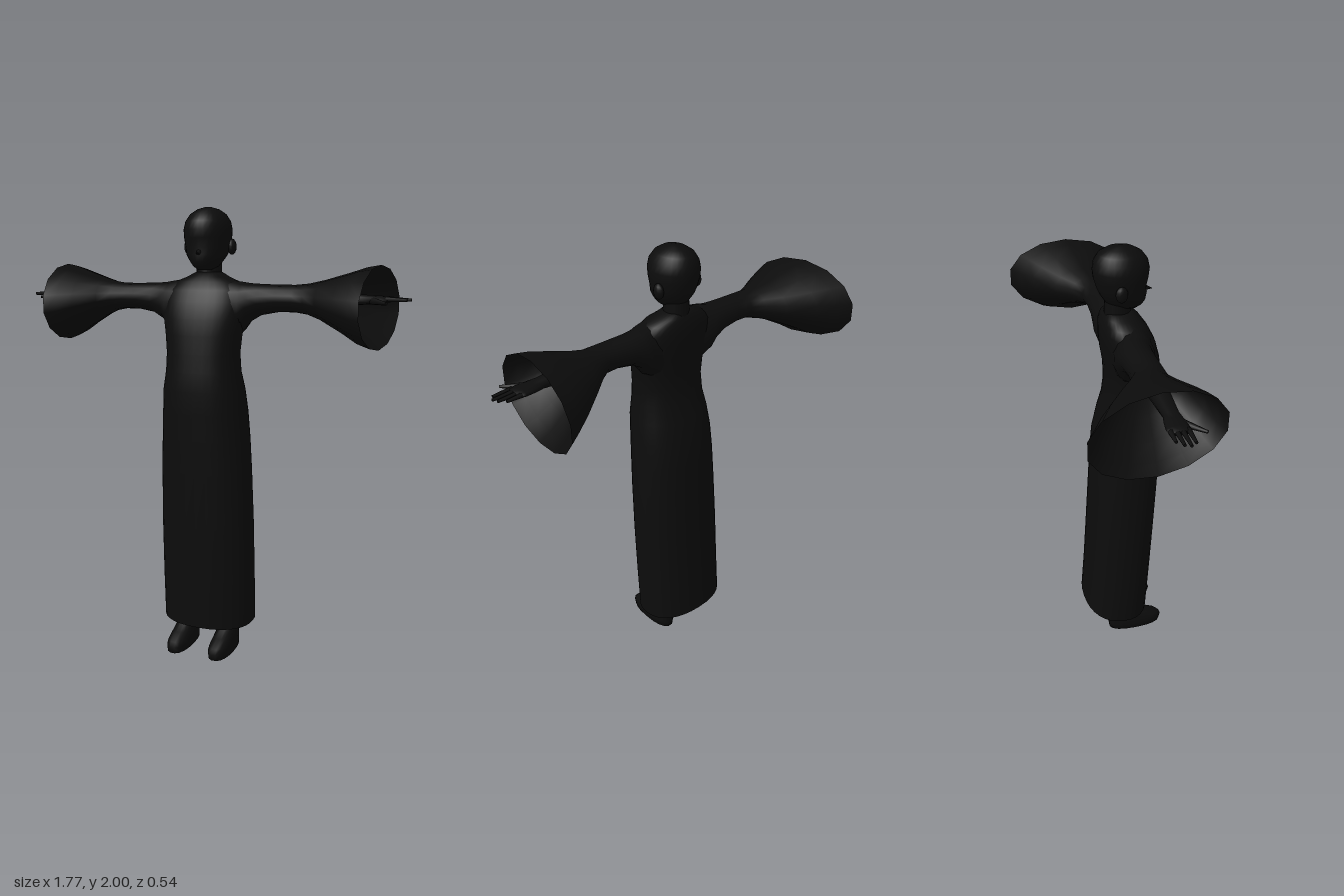
import * as THREE from 'three';

const cloth = new THREE.MeshStandardMaterial({ color: 0x0c0c0c, side: THREE.DoubleSide });
cloth.name = 'black';

// Skin closed cross-sections; at(ring, cos, sin) gives a point of a ring
function loft(rings, sides, at, { power = 2, capStart = false, capEnd = false } = {}) {
  const pos = [], idx = [];
  const round = (v) => Math.sign(v) * Math.abs(v) ** (2 / power);
  for (const ring of rings) {
    for (let j = 0; j < sides; j++) {
      const t = (j / sides) * Math.PI * 2;
      pos.push(...at(ring, round(Math.cos(t)), round(Math.sin(t))));
    }
  }
  for (let i = 0; i < rings.length - 1; i++) {
    for (let j = 0; j < sides; j++) {
      const k = (j + 1) % sides;
      const a = i * sides + j, b = i * sides + k, c = a + sides, d = b + sides;
      idx.push(a, c, b, b, c, d);
    }
  }
  const cap = (i, flip) => {
    const centre = pos.length / 3;
    pos.push(...at(rings[i], 0, 0));
    for (let j = 0; j < sides; j++) {
      const a = i * sides + j, b = i * sides + (j + 1) % sides;
      idx.push(centre, flip ? b : a, flip ? a : b);
    }
  };
  if (capStart) cap(0, false);
  if (capEnd) cap(rings.length - 1, true);
  const g = new THREE.BufferGeometry();
  g.setAttribute('position', new THREE.Float32BufferAttribute(pos, 3));
  g.setIndex(idx);
  g.computeVertexNormals();
  return g;
}

// Upright ring: [y, half width, back z, front z, hem tilt]
const upright = ([y, hx, zb, zf, tilt = 0], c, s) =>
  [hx * c, y - tilt * s, (zb + zf) / 2 + ((zf - zb) / 2) * s];

// Sideways ring: [x, bottom y, top y, back z, front z, slant of x along z]
const sideways = ([x, y0, y1, z0, z1, slant = 0], c, s) => {
  const z = (z0 + z1) / 2 - ((z1 - z0) / 2) * s;
  return [x - slant * z, (y0 + y1) / 2 + ((y1 - y0) / 2) * c, z];
};

function add(parent, name, geometry, place) {
  const m = new THREE.Mesh(geometry, cloth);
  m.name = name;
  if (place) m.position.set(...place);
  parent.add(m);
  return m;
}

// Tapered round limb between two points
function limb(parent, name, from, to, r0, r1, flat = 1) {
  const a = new THREE.Vector3(...from), b = new THREE.Vector3(...to);
  const dir = b.clone().sub(a);
  const g = new THREE.CylinderGeometry(r1, r0, dir.length(), 8);
  const m = add(parent, name, g, a.clone().add(b).multiplyScalar(0.5).toArray());
  m.quaternion.setFromUnitVectors(new THREE.Vector3(0, 1, 0), dir.normalize());
  m.scale.x = flat;
  return m;
}

function makeSide(name) {
  const side = new THREE.Group();
  side.name = name;

  // Bell sleeve, open and slanted at the cuff
  add(side, 'sleeve', loft([
    [0.10, 1.42, 1.695, 0.00, 0.18],
    [0.17, 1.47, 1.685, -0.01, 0.165],
    [0.20, 1.515, 1.68, -0.008, 0.148],
    [0.25, 1.545, 1.677, -0.003, 0.14],
    [0.33, 1.56, 1.675, 0.0, 0.138],
    [0.40, 1.56, 1.675, -0.005, 0.138],
    [0.455, 1.55, 1.68, -0.045, 0.14, 0.04],
    [0.52, 1.525, 1.695, -0.105, 0.17, 0.07],
    [0.62, 1.47, 1.725, -0.19, 0.225, 0.095],
    [0.69, 1.425, 1.748, -0.24, 0.255, 0.107],
    [0.745, 1.405, 1.758, -0.278, 0.278, 0.107],
  ], 14, sideways));

  // Forearm and flat hand inside the sleeve
  add(side, 'forearm', loft([
    [0.38, 1.575, 1.66, 0.02, 0.11],
    [0.55, 1.585, 1.655, 0.025, 0.105],
    [0.68, 1.597, 1.64, 0.03, 0.095],
    [0.72, 1.60, 1.637, 0.02, 0.1],
    [0.77, 1.605, 1.635, 0.012, 0.102],
    [0.80, 1.61, 1.632, 0.015, 0.1],
  ], 12, sideways, { capEnd: true }));
  [[0.024, 0.85], [0.046, 0.875], [0.068, 0.885], [0.09, 0.87]].forEach(([z, tip]) =>
    limb(side, 'finger', [0.785, 1.622, z], [tip, 1.62, z], 0.0105, 0.006));
  limb(side, 'thumb', [0.73, 1.615, 0.085], [0.8, 1.608, 0.158], 0.016, 0.006);

  // Leg with shoe
  add(side, 'foot', loft([
    [0, 0.05, -0.008, 0.255],
    [0.03, 0.051, -0.01, 0.263],
    [0.05, 0.049, -0.01, 0.245],
    [0.075, 0.045, -0.012, 0.19],
    [0.105, 0.039, -0.014, 0.125],
    [0.14, 0.035, -0.01, 0.095],
    [0.3, 0.042, -0.015, 0.09],
    [0.6, 0.055, -0.01, 0.11],
  ], 18, upright, { power: 2.4, capStart: true, capEnd: true }), [0.102, 0, 0]);

  // Ear
  const ear = add(side, 'ear', new THREE.SphereGeometry(1, 12, 8), [0.102, 1.833, 0.04]);
  ear.scale.set(0.019, 0.034, 0.026);
  return side;
}

export function createModel() {
  const model = new THREE.Group();
  model.name = 'robedFigure';

  // Long robe, open at the hem
  add(model, 'robe', loft([
    [0.13, 0.216, -0.115, 0.195, 0.012],
    [0.35, 0.216, -0.1, 0.207],
    [0.6, 0.214, -0.086, 0.219],
    [0.85, 0.207, -0.073, 0.231],
    [1.0, 0.2, -0.066, 0.238],
    [1.12, 0.192, -0.056, 0.245],
    [1.22, 0.183, -0.034, 0.25],
    [1.3, 0.168, -0.012, 0.245],
    [1.38, 0.164, -0.002, 0.237],
    [1.46, 0.172, -0.004, 0.23],
    [1.53, 0.185, -0.015, 0.22],
    [1.6, 0.19, -0.022, 0.2],
    [1.65, 0.178, -0.022, 0.175],
    [1.685, 0.145, -0.016, 0.15],
    [1.705, 0.095, -0.008, 0.125],
    [1.725, 0.058, 0, 0.105],
  ], 32, upright, { power: 2.3, capEnd: true }));

  // Neck and head
  add(model, 'neck', new THREE.CylinderGeometry(0.053, 0.058, 0.12, 20), [0, 1.74, 0.05]);
  add(model, 'head', loft([
    [1.735, 0.03, 0.06, 0.135],
    [1.75, 0.052, 0.015, 0.157],
    [1.77, 0.068, -0.005, 0.168],
    [1.8, 0.088, -0.025, 0.172],
    [1.83, 0.096, -0.038, 0.168],
    [1.87, 0.102, -0.051, 0.177],
    [1.905, 0.104, -0.055, 0.181],
    [1.94, 0.096, -0.05, 0.173],
    [1.97, 0.076, -0.032, 0.15],
    [1.99, 0.046, 0, 0.115],
    [2.0, 0.012, 0.045, 0.075],
  ], 28, upright, { capStart: true, capEnd: true }));

  // Nose
  const nose = add(model, 'nose', new THREE.ConeGeometry(0.02, 0.06, 8), [0, 1.808, 0.172]);
  nose.rotation.x = Math.PI / 2 + 0.2;

  // Arms, legs and ears, mirrored
  const left = makeSide('leftSide');
  const right = makeSide('rightSide');
  right.scale.x = -1;
  model.add(left, right);
  return model;
}
